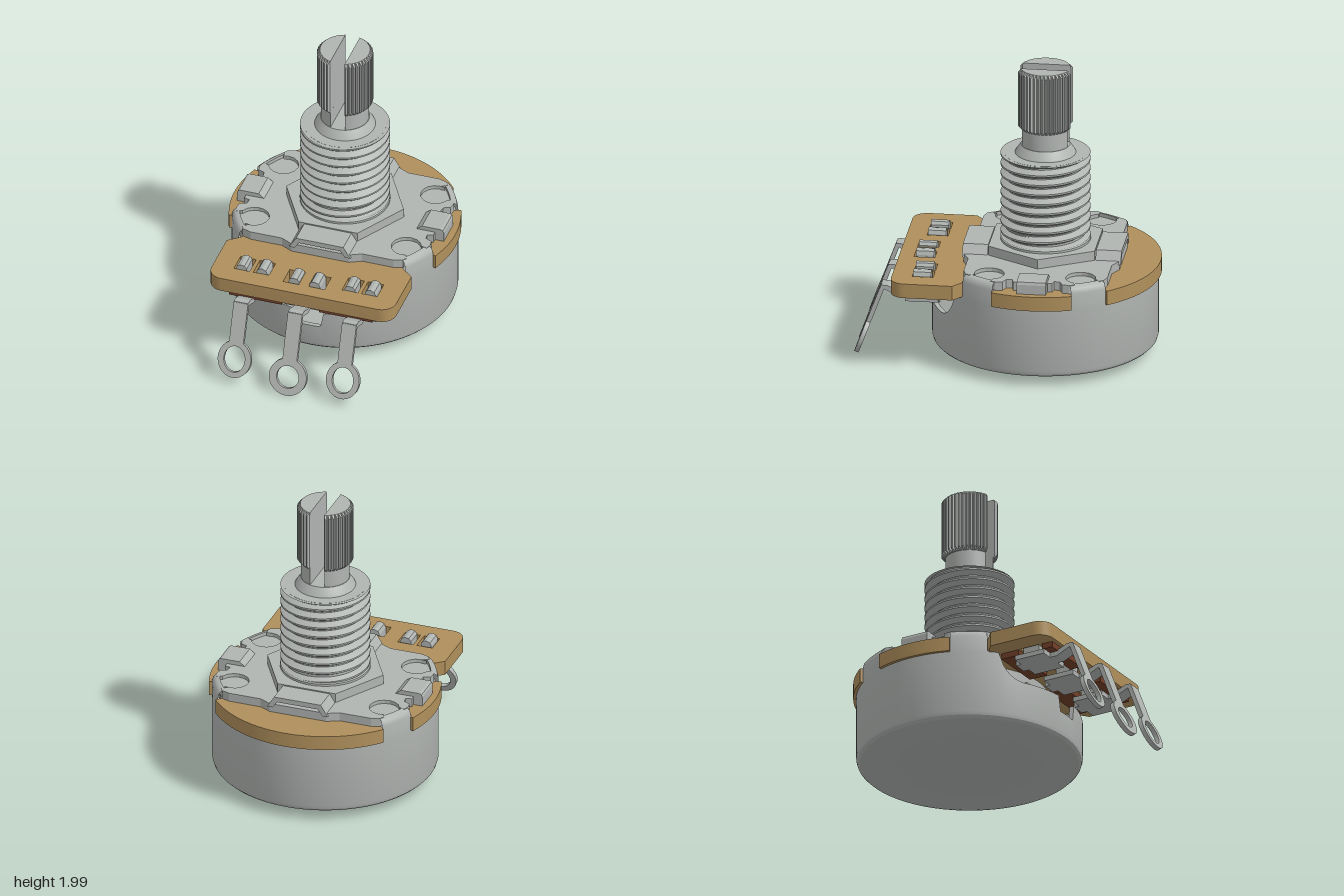
import * as THREE from 'three';
import { toCreasedNormals } from 'three/addons/utils/BufferGeometryUtils.js';

const mat = (name, color, side = THREE.FrontSide) => {
  const m = new THREE.MeshStandardMaterial({ color, side });
  m.name = name;
  return m;
};
const V = (x, y) => new THREE.Vector2(x, y);
const shapeOf = (pts) => new THREE.Shape(pts.map(([x, y]) => V(x, y)));
const rad = THREE.MathUtils.degToRad;

// Plan shape (x, z) raised from y0 to y1
function slab(shape, y0, y1, steps = 1) {
  const g = new THREE.ExtrudeGeometry(shape, { depth: y1 - y0, bevelEnabled: false, curveSegments: 24, steps });
  return g.rotateX(Math.PI / 2).translate(0, y1, 0);
}
// Side profile (z, y) extruded to width w across x
function sideStrip(pts, w) {
  const g = new THREE.ExtrudeGeometry(shapeOf(pts), { depth: w, bevelEnabled: false });
  return g.rotateY(-Math.PI / 2).translate(w / 2, 0, 0);
}
// Front profile (x, y) extruded from z0 to z1
function frontStrip(pts, z0, z1) {
  return new THREE.ExtrudeGeometry(shapeOf(pts), { depth: z1 - z0, bevelEnabled: false }).translate(0, 0, z0);
}
const box = (x0, x1, y0, y1, z0, z1) =>
  new THREE.BoxGeometry(x1 - x0, y1 - y0, z1 - z0).translate((x0 + x1) / 2, (y0 + y1) / 2, (z0 + z1) / 2);
const arc = (r, a0, a1, n) => Array.from({ length: n + 1 }, (_, i) => {
  const a = rad(a0 + (a1 - a0) * i / n);
  return [r * Math.cos(a), r * Math.sin(a)];
});

export function createModel() {
  const silver = mat('silver metal', 0xb1b5b2, THREE.DoubleSide);
  const tan = mat('tan board', 0xb0905c);
  const rust = mat('rust insulator', 0x74402a);
  const root = new THREE.Group();
  root.name = 'potentiometer';
  const axis = new THREE.Group(); // everything centred on the shaft
  axis.name = 'body';
  axis.position.z = -0.23;
  root.add(axis);
  const add = (parent, name, geo, m) => {
    const mesh = new THREE.Mesh(geo, m);
    mesh.name = name;
    parent.add(mesh);
    return mesh;
  };
  const lathe = (pts, seg = 64, ...phi) => new THREE.LatheGeometry(pts.map(([r, y]) => V(r, y)), seg, ...phi);

  // Can: a cup whose rim drops at the front opening
  const rim = (x, z) => {
    const ax = Math.abs(x);
    if (z < 0 || ax > 0.52) return 0.56;
    if (ax < 0.09) return 0.25;
    if (ax < 0.38) return 0.36;
    return 0.36 + 0.2 * (1 - Math.sqrt(Math.max(0, 1 - ((ax - 0.38) / 0.14) ** 2)));
  };
  const can = lathe([[0, 0.065], [0.7, 0.065], [0.725, 0.072], [0.743, 0.09], [0.75, 0.115], [0.75, 0.5],
    [0.72, 0.5], [0.72, 0.1], [0, 0.1]], 240);
  const cp = can.attributes.position;
  for (let i = 0; i < cp.count; i++) {
    if (cp.getY(i) > 0.3) cp.setY(i, rim(cp.getX(i), cp.getZ(i)));
  }
  add(axis, 'can', toCreasedNormals(can, 0.5), silver);

  // Rotor seen through the opening
  add(axis, 'rotor', new THREE.CylinderGeometry(0.53, 0.53, 0.1, 48).translate(0, 0.5, 0), silver);
  add(axis, 'rotorBlock', box(-0.2, 0.2, 0.37, 0.46, 0.3, 0.56), silver);

  // Board: disc with four notches and a front tab
  const half = [...arc(0.77, -90, -39.5, 24), [0.53, -0.43], [0.65, -0.25], ...arc(0.77, -20.5, 20.5, 14),
    [0.65, 0.25], [0.53, 0.43], [0.57, 0.48], [0.645, 0.54],
    ...arc(0.1, 0, 90, 8).map(([x, z]) => [x + 0.545, z + 0.86])];
  const board = shapeOf([...half, ...half.slice(1).reverse().map(([x, z]) => [-x, z])]);
  const slots = [-0.445, -0.31, -0.09, 0.09, 0.31, 0.445];
  for (const x of slots) {
    const z0 = Math.abs(x) < 0.2 ? 0.72 : 0.685, w = 0.055;
    board.holes.push(new THREE.Path([V(x - w, z0), V(x - w, z0 + 0.14), V(x + w, z0 + 0.14), V(x + w, z0)]));
  }
  add(axis, 'board', toCreasedNormals(slab(board, 0.55, 0.65), 0.4), tan);

  // Cover plate, a lower layer and an upper layer with round dimples cut in
  const quarter = (dimple) => [[0.2, 0.52], [0.28, 0.48], [0.5, 0.48], [0.56, 0.46],
    ...(dimple ? [...arc(0.72, 39, 37, 2), [0.53, 0.4], ...arc(0.1, 70, 340, 12).map(([x, z]) => [x + 0.53, z + 0.305]),
      ...arc(0.72, 23, 20, 2)] : arc(0.72, 39, 20, 6)),
    [0.67, 0.2], [0.625, 0.18], [0.62, 0.14], [0.66, 0.13], [0.66, 0.1], [0.64, 0.09]];
  for (const [name, y0, y1, dimple] of [['coverBase', 0.65, 0.685, false], ['coverTop', 0.685, 0.71, true]]) {
    const q = quarter(dimple);
    const right = [...q, ...q.slice().reverse().map(([x, z]) => [x, -z])];
    const all = [...right, ...right.slice().reverse().map(([x, z]) => [-x, z])];
    add(axis, name, slab(shapeOf(all), y0, y1), silver);
  }
  // Rounded flanges that fold down through the notches
  for (const start of [50.5, 110.5, 230.5, 290.5]) {
    const flange = lathe([[0.75, 0.53], [0.75, 0.66], [0.742, 0.69], [0.725, 0.705], [0.7, 0.71], [0.7, 0.53], [0.75, 0.53]],
      10, rad(start), rad(19));
    add(axis, 'coverFlange', toCreasedNormals(flange, 0.6), silver);
  }
  // Raised bridges front and back, folded tabs on the sides
  const bridge = [[-0.215, 0.69], [-0.165, 0.77], [0.165, 0.77], [0.215, 0.69], [0.175, 0.69], [0.145, 0.735],
    [-0.145, 0.735], [-0.175, 0.69]];
  const tab = [[0.52, 0.7], [0.57, 0.74], [0.7, 0.74], [0.715, 0.733], [0.722, 0.715], [0.722, 0.65], [0.52, 0.65]];
  for (const s of [-1, 1]) {
    add(axis, 'coverBridge', frontStrip(bridge, s > 0 ? 0.36 : -0.53, s > 0 ? 0.53 : -0.36), silver);
    add(axis, 'sideTab', frontStrip(tab, -0.097, 0.097).rotateY(s > 0 ? 0 : Math.PI), silver);
  }

  // Hexagonal base and threaded bushing
  add(axis, 'hexBase', new THREE.CylinderGeometry(0.41, 0.41, 0.07, 6).rotateY(Math.PI / 6).toNonIndexed()
    .translate(0, 0.74, 0), silver);
  axis.children.at(-1).geometry = toCreasedNormals(axis.children.at(-1).geometry, 0.4);
  add(axis, 'bushingCollar', toCreasedNormals(lathe([[0, 0.77], [0.3, 0.77], [0.3, 0.79], [0.265, 0.81], [0.265, 0.87], [0, 0.87]]), 0.5), silver);
  const pitch = 0.068, yLow = 0.8, yHigh = 1.385;
  const thread = [[0.262, yLow - pitch * 2]];
  for (let y = yLow - pitch; y < yHigh + pitch; y += pitch) {
    thread.push([0.258, y], [0.298, y + 0.024], [0.298, y + 0.036], [0.258, y + 0.06]);
  }
  const threadGeo = lathe(thread, 72);
  const tp = threadGeo.attributes.position;
  for (let i = 0; i < tp.count; i++) {
    const turn = Math.floor(i / thread.length) / 72;
    tp.setY(i, THREE.MathUtils.clamp(tp.getY(i) + pitch * turn, yLow, yHigh));
  }
  add(axis, 'bushingThread', toCreasedNormals(threadGeo, 0.5), silver);
  add(axis, 'bushingTop', toCreasedNormals(lathe([[0.275, 1.37], [0.275, 1.386], [0.2, 1.386]]), 0.5), silver);

  // Shaft: cone, then two slotted halves with a ribbed grip
  add(axis, 'shaftCone', toCreasedNormals(lathe([[0.205, 1.38], [0.195, 1.4], [0.163, 1.445], [0, 1.445]]), 0.6), silver);
  const neck = shapeOf(arc(0.16, -71.8, 71.8, 24));
  const ribs = 17, spread = 73;
  const gripPts = [[0.05, -0.162]];
  for (let i = 0; i < ribs; i++) {
    const step = 2 * spread / ribs, a = -spread + step * (i + 0.5);
    for (const [r, d] of [[0.168, -0.42], [0.187, -0.2], [0.187, 0.2], [0.168, 0.42]]) {
      const t = rad(a + d * step);
      gripPts.push([Math.max(0.05, r * Math.cos(t)), r * Math.sin(t)]);
    }
  }
  gripPts.push([0.05, 0.162]);
  const grip = slab(shapeOf(gripPts), 1.565, 1.988, 20);
  const gp = grip.attributes.position;
  for (let i = 0; i < gp.count; i++) { // chamfer both ends
    const y = gp.getY(i), r = Math.hypot(gp.getX(i), gp.getZ(i));
    if ((y < 1.57 || y > 1.98) && r > 0.166) {
      gp.setX(i, Math.max(0.05, gp.getX(i) * 0.166 / r));
      gp.setZ(i, gp.getZ(i) * 0.166 / r);
    }
  }
  const gripGeo = toCreasedNormals(grip, 0.3);
  const neckGeo = toCreasedNormals(slab(neck, 1.44, 1.57), 0.4);
  for (const turn of [0, Math.PI]) {
    add(axis, 'shaftNeck', neckGeo, silver).rotation.y = turn;
    add(axis, 'shaftGrip', gripGeo, silver).rotation.y = turn;
  }

  // Insulators under the board
  for (const s of [-1, 1]) add(root, 'insulator', box(s * 0.315 - 0.185, s * 0.315 + 0.185, 0.51, 0.55, 0.31, 0.44), rust);
  for (const s of [-1, 1]) add(root, 'insulator', box(s * 0.315 - 0.185, s * 0.315 + 0.185, 0.51, 0.55, 0.62, 0.7), rust);

  // Three terminals with eyelets and clinched prongs
  const strip = [[0.38, 0.475], [0.69, 0.475], [0.79, 0.52], [0.82, 0.525], [0.81, 0.548], [0.77, 0.548], [0.68, 0.508], [0.38, 0.508]];
  for (const x of [-0.378, 0, 0.378]) {
    const mid = x === 0;
    const [len, rx, ry, hx, hy] = mid ? [0.44, 0.13, 0.128, 0.077, 0.077] : [0.39, 0.115, 0.128, 0.073, 0.09];
    const t = new THREE.Group();
    t.name = 'terminal';
    t.position.x = x;
    root.add(t);
    add(t, 'terminalStrip', sideStrip(strip, 0.1), silver);
    add(t, 'terminalBase', box(-0.13, 0.13, 0.475, 0.508, 0.42, 0.64), silver);
    const s = new THREE.Shape();
    const a0 = Math.acos(0.05 / rx);
    s.absellipse(0, -len, rx, ry, a0, Math.PI - a0, true);
    s.lineTo(-0.05, 0);
    s.lineTo(0.05, 0);
    const hole = new THREE.Path();
    hole.absellipse(0, -len, hx, hy, 0, Math.PI * 2, false);
    s.holes.push(hole);
    const lug = new THREE.ExtrudeGeometry(s, { depth: 0.03, bevelEnabled: false, curveSegments: 32 });
    const m = add(t, 'terminalLug', toCreasedNormals(lug.translate(0, 0, -0.015), 0.4), silver);
    m.position.set(0, 0.54, 0.8);
    m.rotation.x = rad(-20.5);
    // Each prong rises through its slot and leans over the board
    const z0 = mid ? 0.5 : 0.47;
    const prong = [[0.035, 0.5], [0.035, 0.66], [0.05, 0.68], [0.075, 0.685], [0.1, 0.675], [0.11, 0.65], [0.11, 0.5]];
    for (const turn of [0, Math.PI]) {
      const g = frontStrip(prong, -0.06, 0.06).rotateY(turn).translate(0, 0, z0 + 0.06);
      add(t, 'terminalProng', g, silver);
    }
  }
  return root;
}
